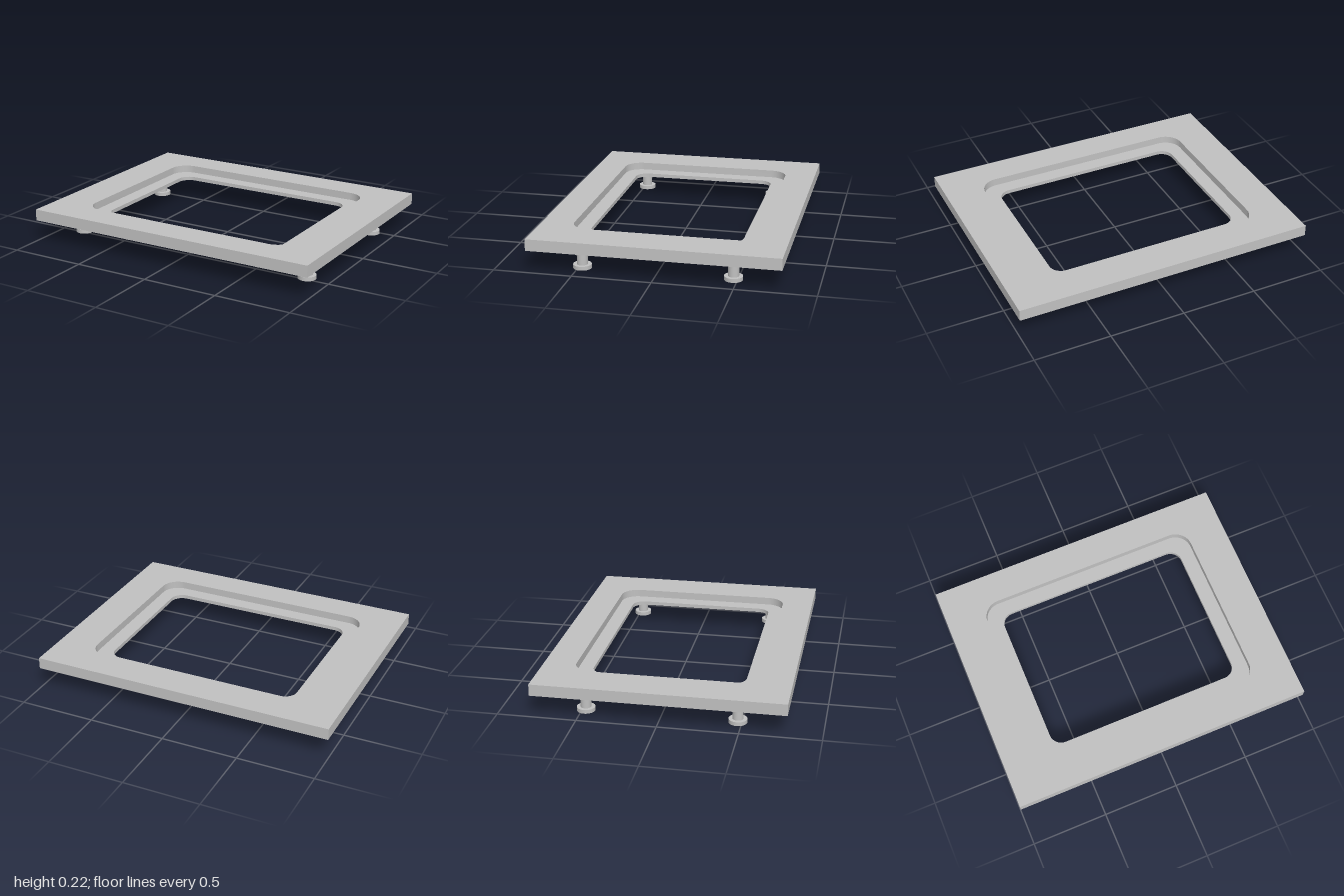
import * as THREE from 'three';
import { toCreasedNormals } from 'three/addons/utils/BufferGeometryUtils.js';

const HALF_X = 1, HALF_Z = 0.79;
const BOTTOM = 0.142, LEDGE = 0.167, TOP = 0.217;

// Rounded rectangle centred on the origin
function roundedRect(path, hx, hy, r) {
  path.moveTo(hx, -hy + r);
  path.absarc(hx - r, hy - r, r, 0, Math.PI / 2);
  path.absarc(-hx + r, hy - r, r, Math.PI / 2, Math.PI);
  path.absarc(-hx + r, -hy + r, r, Math.PI, Math.PI * 1.5);
  path.absarc(hx - r, -hy + r, r, Math.PI * 1.5, Math.PI * 2);
  path.closePath();
  return path;
}

// Rectangular slab with a rounded opening, lying flat from y0 to y1
function frameSlab(name, holeX, holeZ, radius, y0, y1, material) {
  const shape = new THREE.Shape([
    new THREE.Vector2(-HALF_X, -HALF_Z), new THREE.Vector2(HALF_X, -HALF_Z),
    new THREE.Vector2(HALF_X, HALF_Z), new THREE.Vector2(-HALF_X, HALF_Z),
  ]);
  shape.holes.push(roundedRect(new THREE.Path(), holeX, holeZ, radius));
  const geometry = new THREE.ExtrudeGeometry(shape, { depth: y1 - y0, bevelEnabled: false, curveSegments: 12 });
  geometry.rotateX(-Math.PI / 2).translate(0, y0, 0);
  const mesh = new THREE.Mesh(toCreasedNormals(geometry, Math.PI / 6), material);
  mesh.name = name;
  return mesh;
}

function cylinder(name, radius, y0, y1, material) {
  const mesh = new THREE.Mesh(new THREE.CylinderGeometry(radius, radius, y1 - y0, 40), material);
  mesh.name = name;
  mesh.position.y = (y0 + y1) / 2;
  return mesh;
}

export function createModel() {
  const model = new THREE.Group();
  model.name = 'framePlate';
  const grey = new THREE.MeshStandardMaterial({ color: 0xc0c0c0 });
  grey.name = 'grey';

  // Plate: the wider opening on top leaves a recessed ledge
  model.add(frameSlab('ledgeLayer', 0.648, 0.49, 0.08, BOTTOM, LEDGE, grey));
  model.add(frameSlab('recessLayer', 0.745, 0.585, 0.115, LEDGE, TOP, grey));

  // Four posts with round foot pads
  for (const [side, x] of [['Left', 0.843], ['Right', -0.843]]) {
    for (const [end, z] of [['front', 0.475], ['back', -0.475]]) {
      const leg = new THREE.Group();
      leg.name = `${end}${side}Leg`;
      leg.add(cylinder('footPad', 0.058, 0, 0.025, grey));
      leg.add(cylinder('post', 0.034, 0.025, BOTTOM, grey));
      leg.position.set(x, 0, z);
      model.add(leg);
    }
  }
  return model;
}
